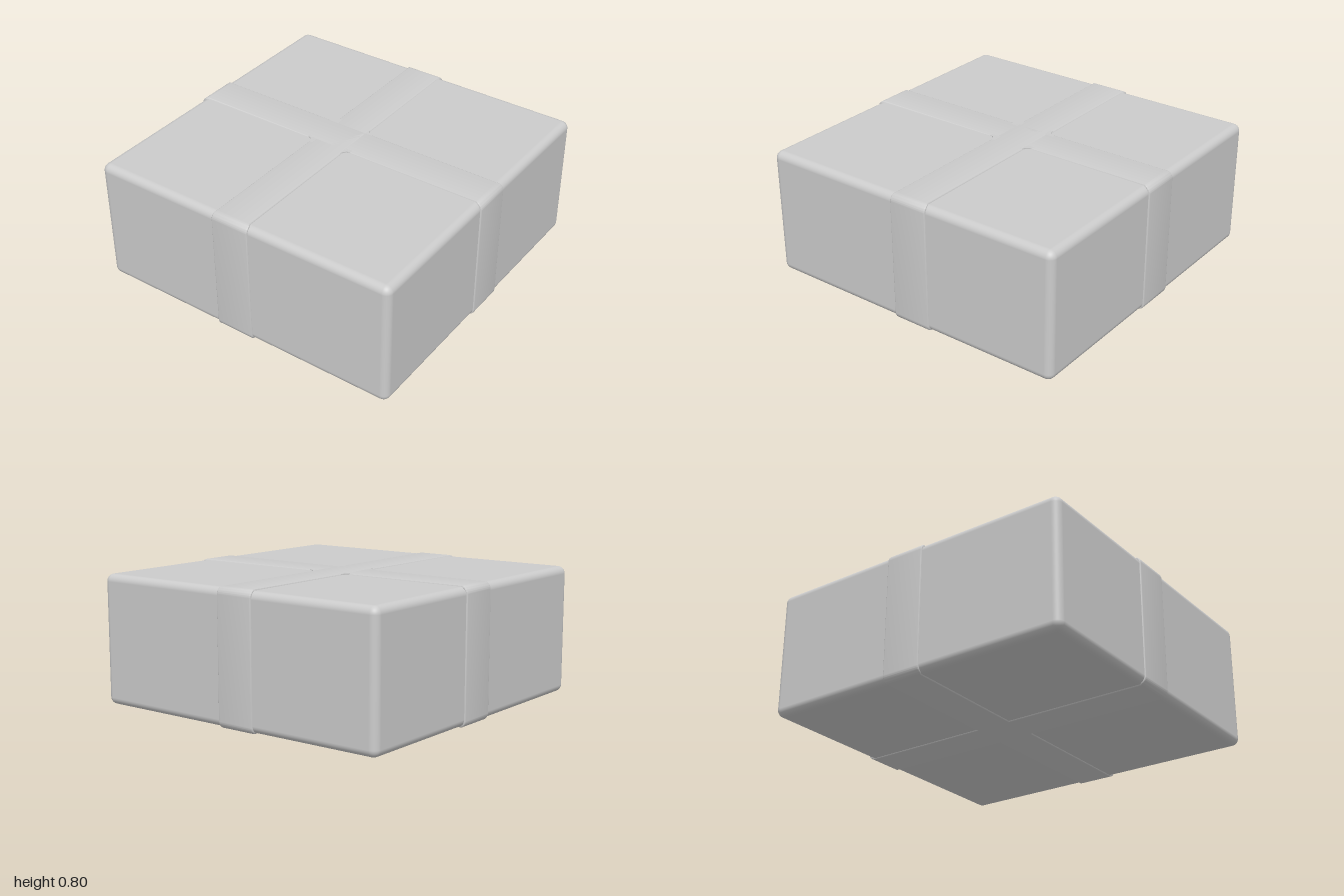
import * as THREE from 'three';
import { toCreasedNormals } from 'three/addons/utils/BufferGeometryUtils.js';
import { RoundedBoxGeometry } from 'three/addons/geometries/RoundedBoxGeometry.js';

const HEIGHT = 0.8;
const RIBBON_CENTRE = -0.04; // the ribbon sits off centre, in x and in z
const HALF_WIDTH = 0.112;    // half width of the ribbon on the top face
const FLARE = 0.011;         // extra half width down the side faces

function roundedRect(w, h, r) {
  const x = w / 2, y = h / 2;
  const shape = new THREE.Shape();
  shape.absarc(x - r, y - r, r, 0, Math.PI / 2);
  shape.absarc(-x + r, y - r, r, Math.PI / 2, Math.PI);
  shape.absarc(-x + r, -y + r, r, Math.PI, Math.PI * 1.5);
  shape.absarc(x - r, -y + r, r, Math.PI * 1.5, Math.PI * 2);
  shape.closePath();
  return shape;
}

// Band wrapped around the box along x, widening where it turns down the sides
function bandGeometry() {
  const bevel = 0.007;
  const geometry = new THREE.ExtrudeGeometry(roundedRect(2, HEIGHT, 0.045), {
    depth: 2 * (HALF_WIDTH - bevel), curveSegments: 8,
    bevelSize: bevel, bevelOffset: -bevel, bevelThickness: bevel, bevelSegments: 3,
  });
  geometry.translate(0, HEIGHT / 2, -(HALF_WIDTH - bevel));
  const p = geometry.attributes.position;
  for (let i = 0; i < p.count; i++) {
    const t = THREE.MathUtils.smoothstep(Math.abs(p.getX(i)), 0.94, 0.985);
    p.setZ(i, p.getZ(i) * (1 + t * FLARE / HALF_WIDTH));
  }
  return toCreasedNormals(geometry, 0.7);
}

// Small concave corner piece that rounds the crossing of the two bands
function filletGeometry() {
  const r = 0.042, o = 0.02;
  const shape = new THREE.Shape();
  shape.moveTo(-o, -o);
  shape.lineTo(r, -o);
  shape.lineTo(r, 0);
  shape.absarc(r, r, r, -Math.PI / 2, -Math.PI, true);
  shape.lineTo(-o, r);
  shape.closePath();
  const geometry = new THREE.ExtrudeGeometry(shape, { depth: 0.02, bevelEnabled: false, curveSegments: 8 });
  geometry.rotateX(-Math.PI / 2);
  geometry.translate(HALF_WIDTH, HEIGHT - 0.02, -HALF_WIDTH);
  return toCreasedNormals(geometry, 0.7);
}

export function createModel() {
  const model = new THREE.Group();
  model.name = 'giftBox';
  const material = new THREE.MeshStandardMaterial({ color: 0xcccccc });
  const add = (parent, name, geometry) => {
    const mesh = new THREE.Mesh(geometry, material);
    mesh.name = name;
    parent.add(mesh);
    return mesh;
  };

  // Box body, slightly smaller than the ribbon on every side
  const body = add(model, 'boxBody', new RoundedBoxGeometry(1.984, HEIGHT - 0.014, 1.984, 6, 0.045));
  body.position.y = HEIGHT / 2;

  // Crossed ribbon bands
  const ribbon = new THREE.Group();
  ribbon.name = 'ribbon';
  model.add(ribbon);
  const band = bandGeometry();
  add(ribbon, 'sideToSideBand', band).position.z = RIBBON_CENTRE;
  const across = add(ribbon, 'frontToBackBand', band);
  across.rotation.y = Math.PI / 2;
  across.position.x = RIBBON_CENTRE;

  // Rounded inner corners of the crossing
  const fillet = filletGeometry();
  for (let i = 0; i < 4; i++) {
    const corner = add(ribbon, 'crossingCorner', fillet);
    corner.rotation.y = i * Math.PI / 2;
    corner.position.set(RIBBON_CENTRE, 0, RIBBON_CENTRE);
  }
  return model;
}
